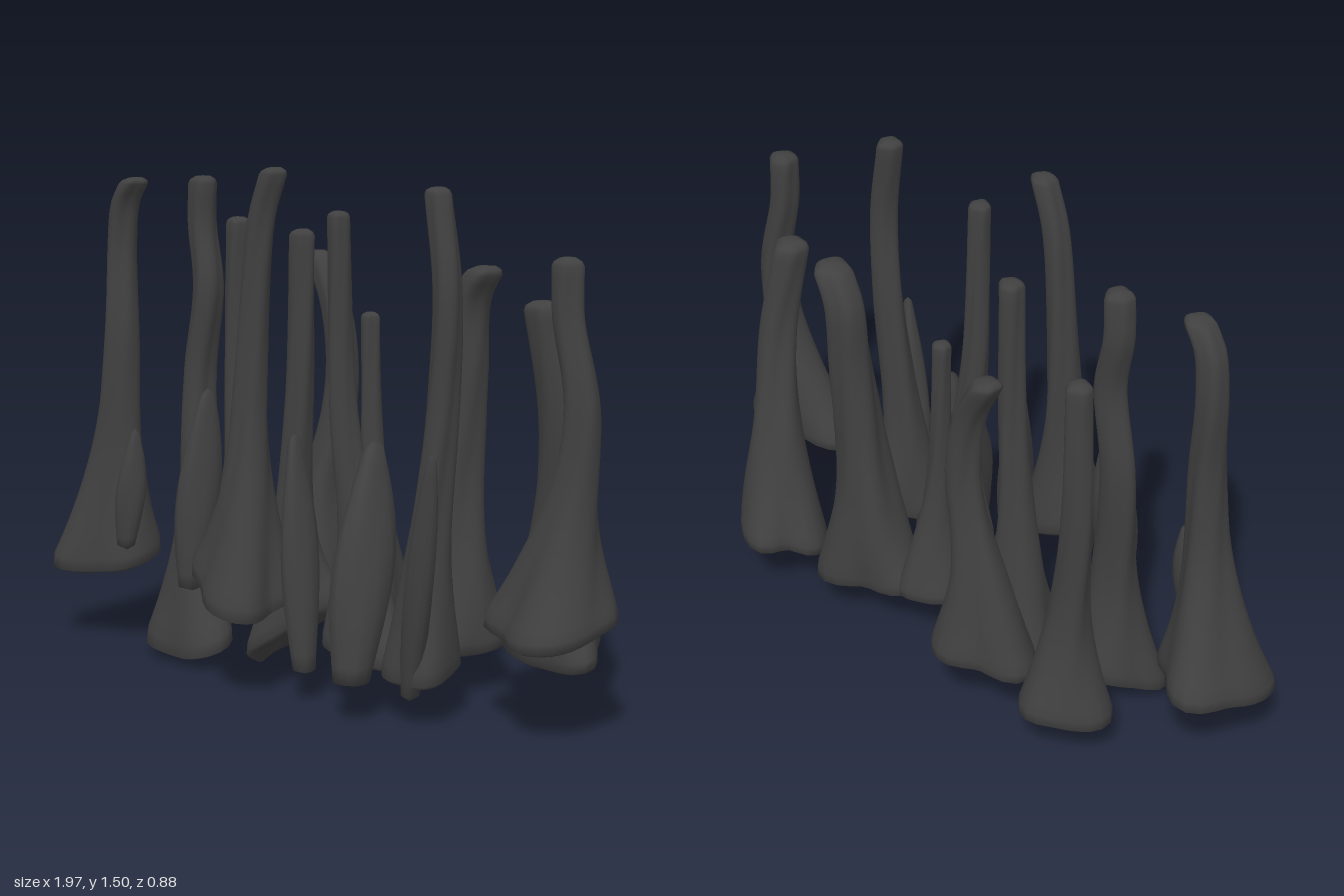
import * as THREE from 'three';

const SIDES = 28, STEPS = 36;
const material = new THREE.MeshStandardMaterial({ color: 0x404040 });
const vec = (x, y, z) => new THREE.Vector3(x, y, z);
const { lerp, clamp } = THREE.MathUtils;

// Closed skin over equal-length rings (listed bottom to top), capped by two poles
function skin(name, rings, bottom, top) {
  const n = rings[0].length, idx = [];
  const points = [...rings.flat(), bottom, top];
  const b = rings.length * n, t = b + 1, last = b - n;
  for (let i = 0; i < n; i++) {
    const k = (i + 1) % n;
    for (let j = 0; j < rings.length - 1; j++) {
      const p = j * n + i, q = j * n + k;
      idx.push(p, p + n, q, q, p + n, q + n);
    }
    idx.push(b, i, k, t, last + k, last + i);
  }
  const geometry = new THREE.BufferGeometry().setFromPoints(points);
  geometry.setIndex(idx);
  geometry.computeVertexNormals();
  const mesh = new THREE.Mesh(geometry, material);
  mesh.name = name;
  return mesh;
}

// Trunk of radius r along a bent spine, flaring into a rounded three-cornered foot.
// foot: centre x, z, half sizes a, b, yaw of the oval, turn of its corners, height y, slopes of its rim
function trunk(name, { x, z, a, b, yaw = 0, turn = 0, y, slopeX = 0, slopeZ = 0 }, r, path) {
  const mid = vec(x, y, z);
  const edge = Array.from({ length: SIDES }, (_, i) => {
    const v = i / SIDES * Math.PI * 2, w = v + yaw;
    const corner = 1 + 0.17 * Math.cos(3 * (w - turn)) + 0.04 * Math.sin(5 * w + 9 * x);
    const u = a * corner * Math.cos(v), s = b * corner * Math.sin(v);
    return {
      w, p: vec(x + u * Math.cos(yaw) - s * Math.sin(yaw),
        y + slopeX * Math.cos(w) + slopeZ * Math.sin(w),
        z + u * Math.sin(yaw) + s * Math.cos(yaw)),
    };
  });
  const points = path.map(p => vec(...p));
  const spine = new THREE.CatmullRomCurve3([vec(points[0].x, y, points[0].z), ...points], false, 'centripetal');

  // Underside, slightly tucked in
  const rings = [0.45, 0.88].map(s => edge.map(({ p }) => mid.clone().lerp(p, s).setY(lerp(y, p.y, s) - 0.012)));

  // Ribbed shaft, blended into the foot near the ground
  for (let j = 0; j <= STEPS; j++) {
    const t = j / STEPS, c = spine.getPointAt(t);
    const radius = r * (1 + (1 - t) ** 2);
    const flare = (1 - clamp((c.y - y) / 0.5 - 0.05, 0, 1)) ** 2.3;
    rings.push(edge.map(({ w, p }) => {
      const rib = 1 + 0.13 * (1 - 0.6 * t) * Math.sin(3 * w + 7 * x + 3 * t) + 0.05 * Math.sin(5 * w + 9 * t);
      return vec(
        lerp(c.x + radius * rib * Math.cos(w), p.x, flare),
        c.y + (p.y - y) * flare,
        lerp(c.z + radius * rib * Math.sin(w), p.z, flare));
    }));
  }

  // Rounded tip
  const end = spine.getPointAt(1), dir = spine.getTangentAt(1), rim = rings[rings.length - 1];
  for (const [s, up] of [[0.85, 0.3], [0.5, 0.5]])
    rings.push(rim.map(p => end.clone().lerp(p, s).addScaledVector(dir, up * r)));
  return skin(name, rings, mid, end.clone().addScaledVector(dir, 0.55 * r));
}

// Splinter: flat sliver between two points, widest below the middle, turned by yaw
function splinter(name, low, high, halfWidth, halfDepth, yaw) {
  const from = vec(...low), to = vec(...high), up = vec(0, 1, 0);
  const rings = Array.from({ length: 15 }, (_, j) => {
    const t = j / 14, size = 0.6 + 0.4 * Math.sin(Math.PI * t) - 0.3 * t ** 3;
    return Array.from({ length: 14 }, (_, i) => {
      const w = i / 14 * Math.PI * 2, k = size * (1 + 0.1 * Math.sin(3 * w + 4 * t));
      return vec(halfWidth * k * Math.cos(w), 0, halfDepth * k * Math.sin(w))
        .applyAxisAngle(up, yaw).add(from.clone().lerp(to, t));
    });
  });
  return skin(name, rings, from.clone().addScaledVector(up, -0.015), to.clone().addScaledVector(up, 0.015));
}

export function createModel() {
  const group = new THREE.Group();
  group.name = 'trunkCluster';

  // Front row of trunks
  group.add(
    trunk('frontTrunkFarRight', { x: -0.85, z: 0.17, a: 0.16, b: 0.16, turn: 0.1, y: 0.27, slopeZ: -0.04 }, 0.043,
      [[-0.8, 0.45, 0.18], [-0.77, 0.95, 0.185], [-0.785, 1.22, 0.17], [-0.765, 1.35, 0.17], [-0.725, 1.41, 0.17]]),
    trunk('frontTrunkRight', { x: -0.47, z: 0.155, a: 0.16, b: 0.12, yaw: 0.3, turn: 0.4, y: 0.08, slopeZ: -0.05 }, 0.041,
      [[-0.48, 0.4, 0.13], [-0.515, 0.85, 0.1], [-0.48, 1.12, 0.09], [-0.515, 1.3, 0.08], [-0.51, 1.42, 0.08]]),
    trunk('frontTrunkMiddle', { x: -0.1, z: 0.3, a: 0.15, b: 0.125, turn: 1, y: 0.3, slopeX: -0.05, slopeZ: -0.03 }, 0.038,
      [[-0.09, 0.5, 0.27], [-0.1, 0.9, 0.25], [-0.065, 1.35, 0.24], [-0.02, 1.485, 0.235]]),
    trunk('frontTrunkInnerLeft', { x: 0.23, z: 0.09, a: 0.13, b: 0.11, turn: 0.3, y: 0.15, slopeX: -0.02 }, 0.032,
      [[0.18, 0.45, 0.1], [0.135, 0.85, 0.12], [0.13, 1.37, 0.13]]),
    trunk('frontTrunkLeft', { x: 0.45, z: 0.11, a: 0.1, b: 0.11, turn: 0.6, y: 0.14, slopeZ: -0.015 }, 0.037,
      [[0.45, 0.4, 0.1], [0.48, 0.9, 0.07], [0.495, 1.2, 0.07], [0.45, 1.45, 0.06]]),
  );

  // Back row of trunks
  group.add(
    trunk('backTrunkFarRight', { x: -0.57, z: -0.12, a: 0.17, b: 0.12, yaw: 0.75, turn: 0.75, y: 0.17, slopeZ: -0.02 }, 0.036,
      [[-0.58, 0.4, -0.13], [-0.62, 0.85, -0.14], [-0.61, 1.28, -0.14]]),
    trunk('backTrunkRight', { x: -0.32, z: -0.2, a: 0.15, b: 0.145, turn: 1.05, y: 0.23, slopeZ: -0.02 }, 0.043,
      [[-0.31, 0.45, -0.22], [-0.255, 0.85, -0.24], [-0.28, 1.05, -0.24], [-0.35, 1.19, -0.24]]),
    trunk('innerTrunkRight', { x: -0.19, z: 0.02, a: 0.14, b: 0.09, yaw: -0.45, turn: -0.45, y: 0.11, slopeX: 0.1, slopeZ: -0.02 }, 0.036,
      [[-0.18, 0.4, 0.02], [-0.15, 0.9, 0.02], [-0.14, 1.29, 0.02]]),
    trunk('shortTrunk', { x: 0.05, z: -0.11, a: 0.13, b: 0.085, yaw: 0.9, turn: 0.9, y: 0.2 }, 0.027,
      [[0.04, 0.4, -0.1], [0.02, 0.8, -0.1], [0.015, 1.06, -0.1]]),
    trunk('backTrunkMiddle', { x: 0.25, z: -0.18, a: 0.175, b: 0.14, turn: 1.05, y: 0.16, slopeX: -0.03 }, 0.055,
      [[0.25, 0.45, -0.2], [0.28, 0.92, -0.22], [0.29, 1.12, -0.23], [0.335, 1.2, -0.23]]),
    trunk('backTrunkLeft', { x: 0.59, z: -0.28, a: 0.2, b: 0.125, yaw: 0.5, turn: 0.5, y: 0.17, slopeZ: -0.03 }, 0.05,
      [[0.6, 0.5, -0.27], [0.63, 0.85, -0.23], [0.605, 1.13, -0.19]]),
    trunk('backTrunkFarLeft', { x: 0.81, z: 0, a: 0.185, b: 0.14, turn: 1.1, y: 0.31, slopeZ: -0.03 }, 0.042,
      [[0.83, 0.5, -0.06], [0.86, 0.9, -0.07], [0.815, 1.15, -0.06], [0.81, 1.28, -0.06]]),
  );

  // Splinters leaning between the trunks
  group.add(
    splinter('splinterFarRight', [-0.68, 0.33, 0.25], [-0.66, 0.67, 0.23], 0.045, 0.045, 0.3),
    splinter('splinterRight', [-0.37, 0.26, 0.25], [-0.38, 0.82, 0.18], 0.055, 0.08, 0.2),
    splinter('splinterInnerRight', [-0.2, 0.24, 0.24], [-0.28, 0.67, 0.17], 0.05, 0.07, 0.5),
    splinter('splinterMiddle', [0.1, 0.1, 0.23], [0.01, 0.74, 0.19], 0.05, 0.07, 0.4),
    splinter('wideSplinter', [0.33, 0.12, 0.26], [0.24, 0.74, 0.1], 0.08, 0.11, 0.35),
    splinter('splinterLeft', [0.47, 0.09, 0.18], [0.6, 0.77, 0.23], 0.045, 0.04, -0.4),
  );
  return group;
}
